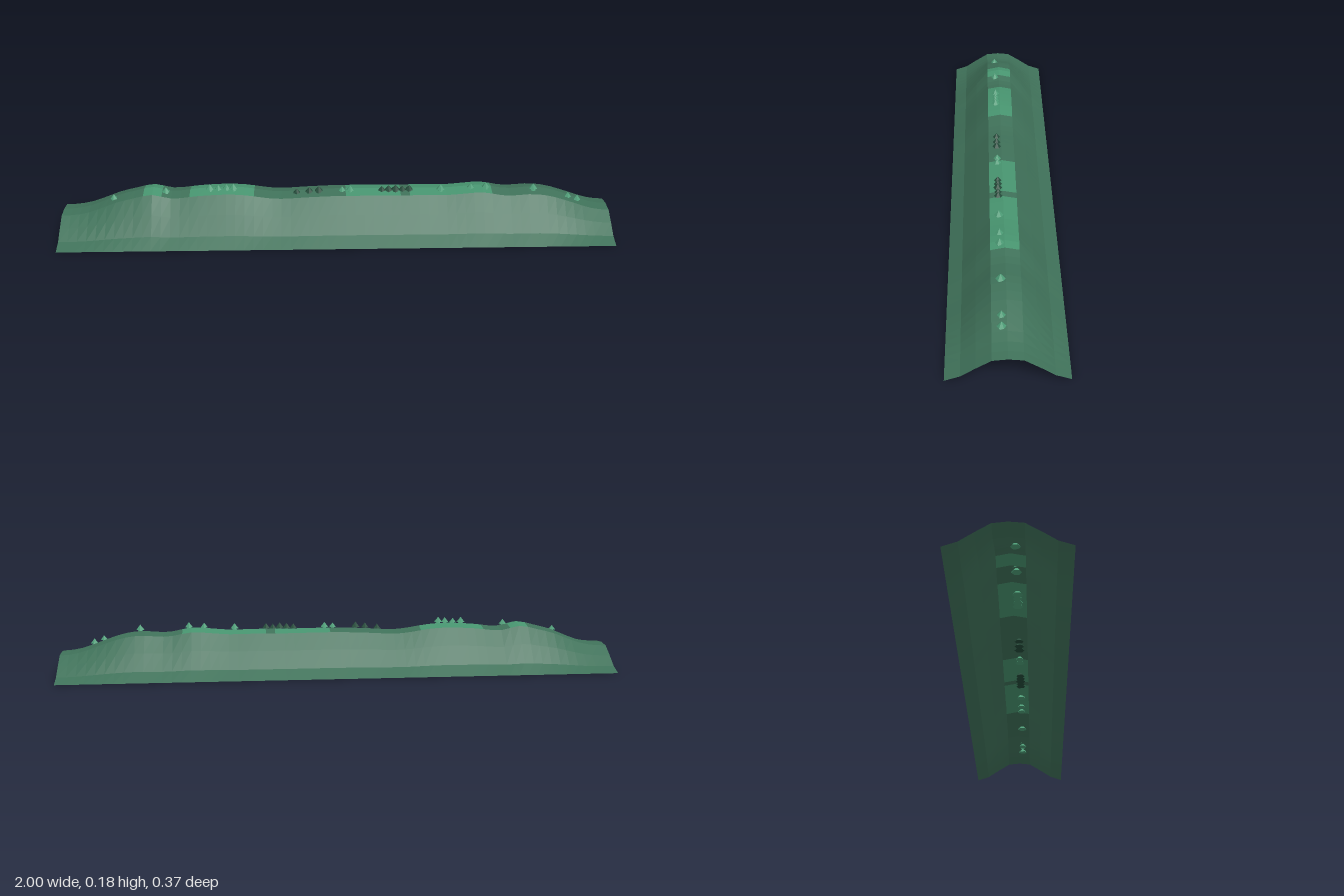
import * as THREE from 'three';

const mat = (name, color, side = THREE.FrontSide) =>
  new THREE.MeshStandardMaterial({ name, color, flatShading: true, side });

// Crest height along the ridge
const KEY_X = [-1, -0.95, -0.9, -0.85, -0.8, -0.73, -0.67, -0.6, -0.5, -0.4, -0.34, -0.22, -0.1,
  0, 0.1, 0.2, 0.3, 0.4, 0.47, 0.53, 0.62, 0.72, 0.78, 0.85, 0.9, 0.95, 1];
const KEY_Y = [0.08, 0.083, 0.093, 0.112, 0.133, 0.152, 0.165, 0.149, 0.158, 0.163, 0.16, 0.143, 0.148,
  0.152, 0.152, 0.151, 0.152, 0.151, 0.157, 0.161, 0.146, 0.151, 0.142, 0.119, 0.1, 0.085, 0.08];
const spline = new THREE.CubicInterpolant(KEY_X, KEY_Y, 1);
const crest = x => spline.evaluate(x)[0];

// Cross-section: z and share of the crest height, front to back
const HALF = [[0.187, 0], [0.14, 0.2], [0.094, 0.58], [0.047, 0.94]];
const SECTION = [...HALF, [0, 1], ...HALF.map(([z, k]) => [-z, k]).reverse()];

const SEGMENTS = 60;
const MEADOWS = [[-0.7, -0.633], [-0.533, -0.3], [0.033, 0.233], [0.267, 0.567]];

// Gathers the ridge faces that pass a test into one surface
function ridgeSurface(test) {
  const pos = [];
  const point = (i, j) => {
    const x = -1 + 2 * i / SEGMENTS;
    return [x, SECTION[j][1] * crest(x), SECTION[j][0]];
  };
  for (let i = 0; i < SEGMENTS; i++) {
    for (let j = 0; j < SECTION.length - 1; j++) {
      if (!test(-1 + (2 * i + 1) / SEGMENTS, j)) continue;
      const a = point(i, j), b = point(i + 1, j), c = point(i + 1, j + 1), d = point(i, j + 1);
      pos.push(...a, ...b, ...c, ...a, ...c, ...d);
    }
  }
  const g = new THREE.BufferGeometry();
  g.setAttribute('position', new THREE.Float32BufferAttribute(pos, 3));
  g.computeVertexNormals();
  return g;
}

export function createModel() {
  const group = new THREE.Group();
  group.name = 'ridge';
  const hillGreen = mat('hillGreen', 0x3f7159, THREE.DoubleSide);
  const meadowGreen = mat('meadowGreen', 0x47946f, THREE.DoubleSide);
  const lightPine = mat('lightPine', 0x4c9c76);
  const darkPine = mat('darkPine', 0x234a39);

  // Hillside shell with lighter meadows on the crest
  const isMeadow = (x, j) => (j === 3 || j === 4) && MEADOWS.some(([a, b]) => x > a && x < b);
  const hill = new THREE.Mesh(ridgeSurface((x, j) => !isMeadow(x, j)), hillGreen);
  hill.name = 'hillside';
  const meadow = new THREE.Mesh(ridgeSurface(isMeadow), meadowGreen);
  meadow.name = 'crestMeadows';
  group.add(hill, meadow);

  // Two-tier pines just in front of the crest line
  const lower = new THREE.ConeGeometry(0.019, 0.022, 6).translate(0, 0.011, 0);
  const upper = new THREE.ConeGeometry(0.016, 0.019, 6).translate(0, 0.0255, 0);
  const addPines = (name, xs, material) => xs.forEach((x, i) => {
    const pine = new THREE.Group();
    pine.name = name;
    for (const [part, g] of [['lowerBoughs', lower], ['upperBoughs', upper]]) {
      const mesh = new THREE.Mesh(g, material);
      mesh.name = part;
      pine.add(mesh);
    }
    pine.position.set(x, crest(x) - 0.014, 0.017);
    pine.scale.setScalar(0.85 + 0.07 * (i % 3));
    group.add(pine);
  });
  addPines('lightPine', [-0.81, -0.62, -0.46, -0.43, -0.4, -0.375, 0.02, 0.05, 0.38, 0.49, 0.545,
    0.72, 0.85, 0.885], lightPine);
  addPines('darkPine', [-0.145, -0.1, -0.065, 0.165, 0.19, 0.215, 0.24, 0.265], darkPine);
  return group;
}
